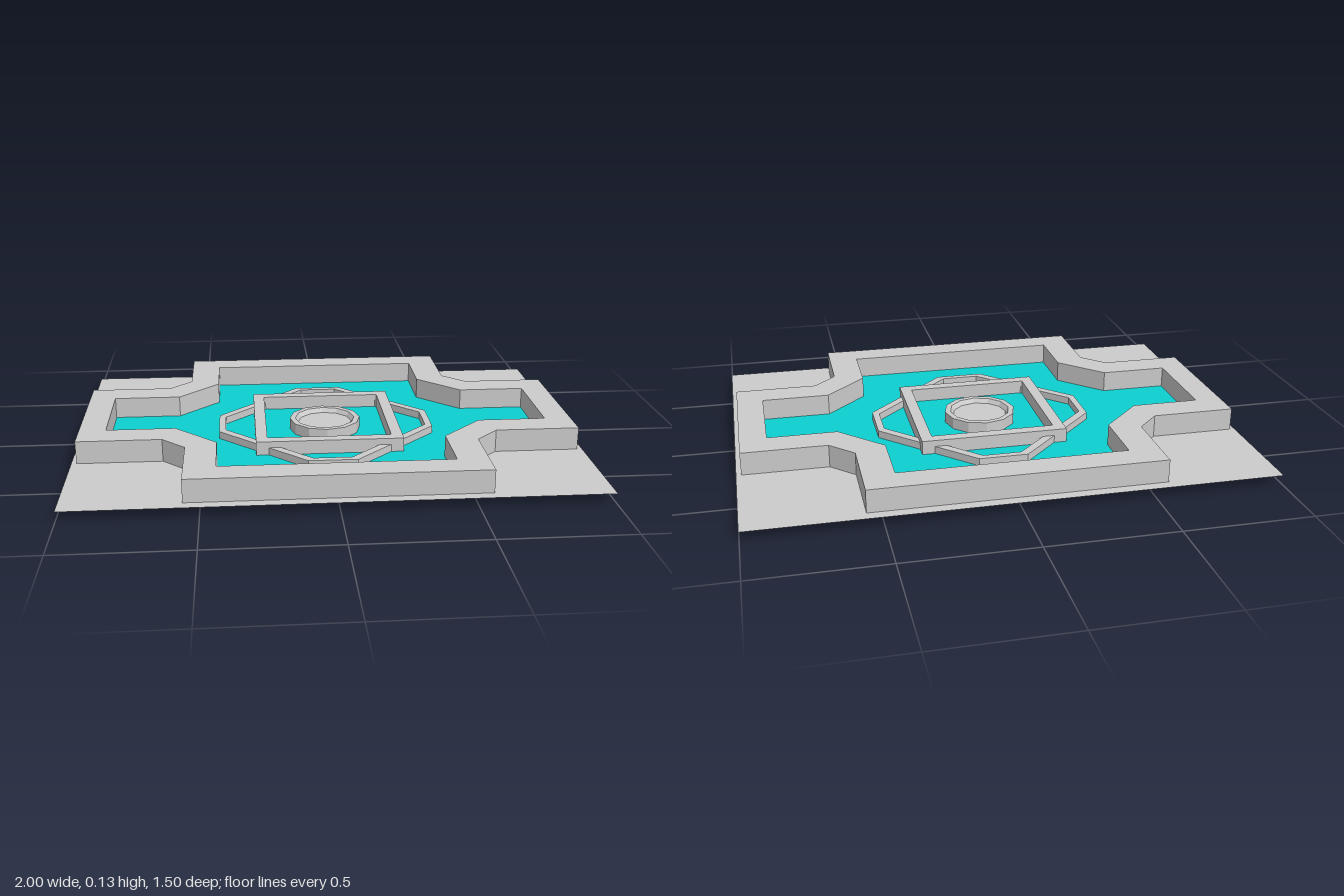
import * as THREE from 'three';

const stone = new THREE.MeshStandardMaterial({ color: 0xcccccc, side: THREE.DoubleSide, flatShading: true });
stone.name = 'stone grey';
const aqua = new THREE.MeshStandardMaterial({ color: 0x0dcfcf });
aqua.name = 'water turquoise';

// Mirror one quarter of an outline into a full closed loop
function mirrorLoop(quarter) {
  const back = [...quarter].reverse();
  return [
    ...quarter,
    ...back.map(([x, z]) => [-x, z]),
    ...quarter.map(([x, z]) => [-x, -z]),
    ...back.map(([x, z]) => [x, -z]),
  ].map(([x, z]) => new THREE.Vector2(x, z));
}

function shapeOf(loop, hole) {
  const shape = new THREE.Shape(loop);
  if (hole) shape.holes.push(new THREE.Path(hole));
  return shape;
}

// Flat horizontal face at height y
function slab(loop, hole, y) {
  return new THREE.ShapeGeometry(shapeOf(loop, hole)).rotateX(-Math.PI / 2).translate(0, y, 0);
}

// Vertical band following a loop
function band(loop, y0, y1) {
  const pos = [];
  loop.forEach((a, i) => {
    const b = loop[(i + 1) % loop.length];
    pos.push(a.x, y0, -a.y, b.x, y0, -b.y, b.x, y1, -b.y);
    pos.push(a.x, y0, -a.y, b.x, y1, -b.y, a.x, y1, -a.y);
  });
  const g = new THREE.BufferGeometry();
  g.setAttribute('position', new THREE.Float32BufferAttribute(pos, 3));
  g.computeVertexNormals();
  return g;
}

// Solid ring standing between two heights
function ring(loop, hole, y0, y1) {
  return new THREE.ExtrudeGeometry(shapeOf(loop, hole), { depth: y1 - y0, bevelEnabled: false })
    .rotateX(-Math.PI / 2).translate(0, y0, 0);
}

export function createModel() {
  const model = new THREE.Group();
  model.name = 'fountainPool';
  const add = (name, geometry, material = stone) => {
    const mesh = new THREE.Mesh(geometry, material);
    mesh.name = name;
    model.add(mesh);
  };

  const GROUND = 0.04, TOP = 0.13, WATER = 0.045;
  const ground = mirrorLoop([[1, 0.75]]);
  const outer = mirrorLoop([[0.98, 0.31], [0.65, 0.31], [0.56, 0.4], [0.56, 0.707]]);
  const middle = mirrorLoop([[0.93, 0.25], [0.63, 0.25], [0.5, 0.38], [0.5, 0.65]]);
  const inner = mirrorLoop([[0.875, 0.19], [0.605, 0.19], [0.44, 0.355], [0.44, 0.595]]);

  // Paving, open beneath the hollow pool wall
  add('paving', slab(ground, middle, GROUND));

  // Pool wall and basin
  add('wallOuterSide', band(outer, GROUND, TOP));
  add('wallTop', slab(outer, inner, TOP));
  add('basinSide', band(inner, 0, TOP));
  add('basinFloor', slab(inner, null, 0));
  add('water', slab(inner, null, WATER), aqua);

  // Low octagonal ring with a taller square ring across it
  add('octagonRing', ring(
    mirrorLoop([[0.435, 0.095], [0.095, 0.435]]),
    mirrorLoop([[0.408, 0.075], [0.075, 0.408]]), WATER - 0.01, 0.075));
  add('squareRing', ring(
    mirrorLoop([[0.29, 0.29]]), mirrorLoop([[0.245, 0.245]]), WATER - 0.01, 0.1));

  // Round centre bowl
  const profile = [[0.145, 0.035], [0.145, 0.09], [0.122, 0.09], [0.11, 0.072], [0, 0.072]];
  add('centreBowl', new THREE.LatheGeometry(profile.map(([r, y]) => new THREE.Vector2(r, y)), 12));

  return model;
}
